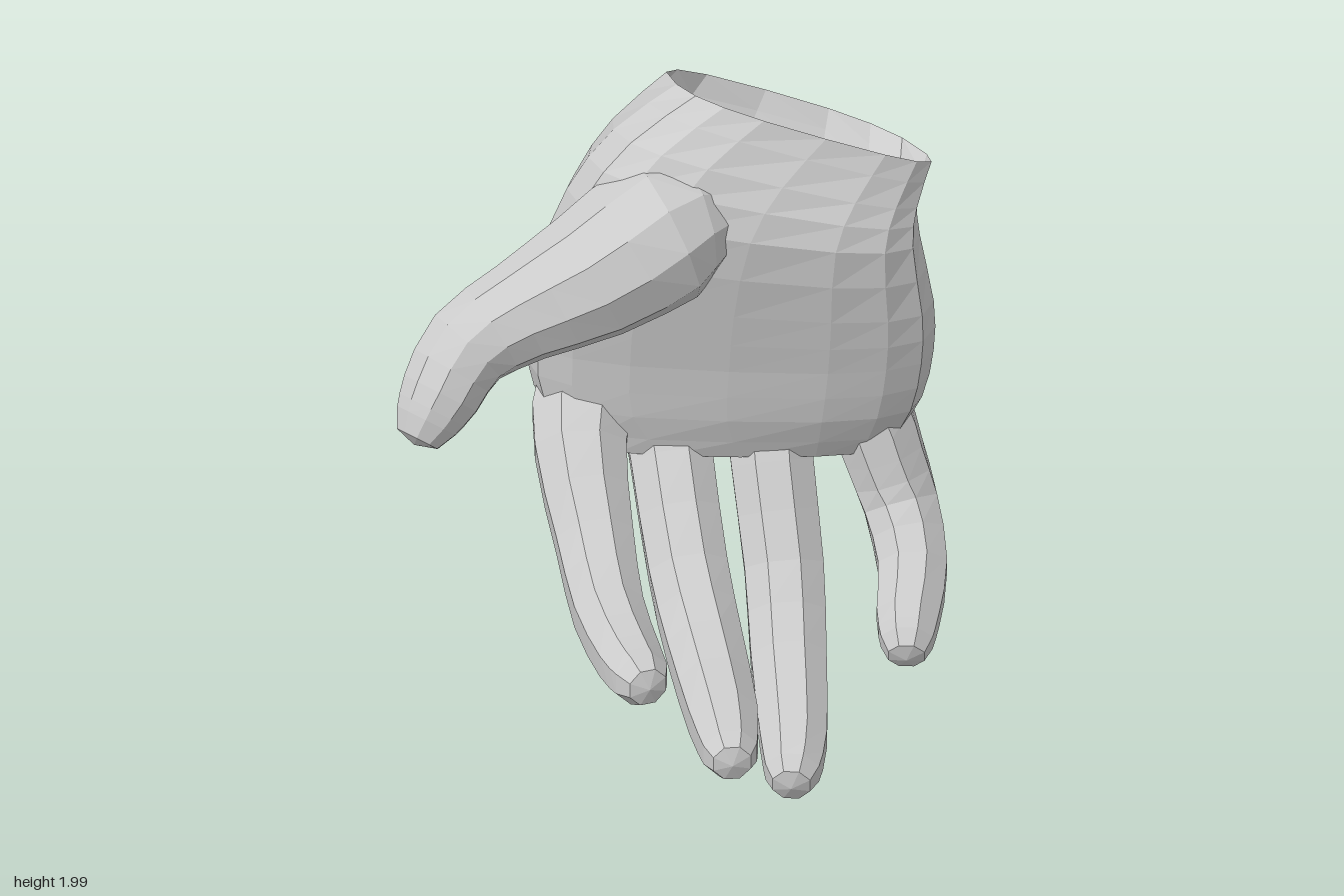
import * as THREE from 'three';

const V = (x, y, z) => new THREE.Vector3(x, y, z);

// Smoothly subdivide rows of numbers (Catmull-Rom on every column)
function refine(rows, steps) {
  const out = [];
  const at = i => rows[Math.min(rows.length - 1, Math.max(0, i))];
  for (let i = 0; i < rows.length - 1; i++) {
    for (let k = 0; k < steps; k++) {
      const t = k / steps;
      out.push(rows[i].map((b, c) => {
        const a = at(i - 1)[c], d = at(i + 1)[c], e = at(i + 2)[c];
        return b + 0.5 * t * (d - a + t * (2 * a - 5 * b + 4 * d - e + t * (3 * (b - d) + e - a)));
      }));
    }
  }
  out.push(rows[rows.length - 1]);
  return out;
}

// Skin a list of rings; the far end closes on a pole
function loft(rings, pole) {
  const n = rings[0].length, pos = [], index = [];
  rings.forEach(r => r.forEach(p => pos.push(p.x, p.y, p.z)));
  pos.push(pole.x, pole.y, pole.z);
  const last = rings.length * n;
  for (let k = 0; k < rings.length; k++) {
    for (let j = 0; j < n; j++) {
      const a = k * n + j, b = k * n + (j + 1) % n;
      if (k < rings.length - 1) index.push(a, b, b + n, a, b + n, a + n);
      else index.push(a, b, last);
    }
  }
  const g = new THREE.BufferGeometry();
  g.setAttribute('position', new THREE.Float32BufferAttribute(pos, 3));
  g.setIndex(index);
  g.computeVertexNormals();
  return g;
}

// Finger: rows of [x, y, z, radius] from base to tip, rounded at the end
function fingerGeometry(rows, side, sides = 8) {
  const path = refine(rows, 2);
  const centers = path.map(r => V(r[0], r[1], r[2]));
  const radii = path.map(r => r[3]);
  const end = centers.length - 1;
  const tip = centers[end].clone().sub(centers[end - 1]).normalize();
  const r = radii[end];
  centers.push(centers[end].clone().addScaledVector(tip, r * 0.6));
  radii.push(r * 0.7);
  const rings = centers.map((c, i) => {
    const t = centers[Math.min(i + 1, centers.length - 1)].clone()
      .sub(centers[Math.max(i - 1, 0)]).normalize();
    const s = side.clone().addScaledVector(t, -side.dot(t)).normalize();
    const b = t.clone().cross(s);
    return Array.from({ length: sides }, (_, j) => {
      const a = (j + 0.5) / sides * Math.PI * 2;
      return c.clone().addScaledVector(s, Math.cos(a) * radii[i])
        .addScaledVector(b, Math.sin(a) * radii[i]);
    });
  });
  return loft(rings, centers[end].clone().addScaledVector(tip, r * 0.8));
}

// Palm: rows of [thumb edge xyz, little-finger edge xyz, palm bulge, back bulge, tilt]
function palmGeometry(rows, sides = 16) {
  const pw = v => Math.sign(v) * Math.abs(v) ** 0.75;
  const rings = refine(rows, 2).map(([ax, ay, az, bx, by, bz, front, back, tilt]) => {
    const A = V(ax, ay, az), B = V(bx, by, bz);
    const mid = A.clone().add(B).multiplyScalar(0.5);
    const half = B.clone().sub(A).multiplyScalar(0.5);
    const n = V(-tilt, -1, 0).cross(half).normalize();
    return Array.from({ length: sides }, (_, j) => {
      const a = j / sides * Math.PI * 2, s = pw(Math.sin(a));
      return mid.clone().addScaledVector(half, pw(Math.cos(a)))
        .addScaledVector(n, s * (s > 0 ? front : back));
    });
  });
  const lastRing = rings[rings.length - 1];
  const pole = lastRing.reduce((s, p) => s.add(p), V(0, 0, 0)).divideScalar(sides);
  return loft(rings, pole);
}

export function createModel() {
  const group = new THREE.Group();
  const material = new THREE.MeshStandardMaterial({
    color: 0xcccccc, flatShading: true, side: THREE.DoubleSide,
  });
  const add = (name, geometry) => {
    const mesh = new THREE.Mesh(geometry, material);
    mesh.name = name;
    group.add(mesh);
  };

  // Palm with the open wrist at the top and a thick heel below it
  add('palm', palmGeometry([
    [0.15, 1.98, -0.31, 0.82, 1.62, 0.09, 0.22, 0.32, 0.55],
    [-0.02, 1.85, -0.41, 0.71, 1.54, 0.16, 0.26, 0.29, 0.45],
    [-0.13, 1.65, -0.5, 0.66, 1.46, 0.22, 0.28, 0.26, 0.28],
    [-0.19, 1.36, -0.58, 0.66, 1.25, 0.28, 0.22, 0.23, 0.1],
    [-0.19, 1.12, -0.61, 0.66, 1.08, 0.28, 0.19, 0.22, 0.03],
    [-0.17, 0.93, -0.6, 0.65, 0.9, 0.24, 0.18, 0.19, 0],
    [-0.11, 0.78, -0.46, 0.6, 0.74, 0.17, 0.11, 0.09, 0],
  ]));

  // Four fingers, rooted inside the palm, curling forward and to the thumb side
  const across = V(0.7, 0, 0.7);
  const fingers = {
    indexFinger: [[0.02, 1.0, -0.48, 0.09], [-0.04, 0.91, -0.5, 0.165], [-0.17, 0.79, -0.4, 0.15],
      [-0.32, 0.62, -0.19, 0.127], [-0.48, 0.53, 0.03, 0.115], [-0.59, 0.49, 0.23, 0.103],
      [-0.635, 0.485, 0.325, 0.09]],
    middleFinger: [[0.17, 0.92, -0.36, 0.09], [0.14, 0.83, -0.34, 0.14], [0.07, 0.71, -0.25, 0.135],
      [-0.08, 0.48, -0.03, 0.13], [-0.22, 0.36, 0.18, 0.125], [-0.41, 0.3, 0.45, 0.113],
      [-0.52, 0.285, 0.59, 0.088]],
    ringFinger: [[0.38, 0.91, -0.14, 0.09], [0.36, 0.82, -0.12, 0.14], [0.3, 0.69, -0.05, 0.135],
      [0.2, 0.43, 0.1, 0.13], [0.05, 0.24, 0.27, 0.124], [-0.13, 0.12, 0.47, 0.11],
      [-0.225, 0.08, 0.56, 0.088]],
    littleFinger: [[0.55, 0.94, 0.11, 0.08], [0.56, 0.84, 0.11, 0.13], [0.57, 0.7, 0.16, 0.128],
      [0.57, 0.55, 0.23, 0.122], [0.49, 0.42, 0.36, 0.113], [0.37, 0.335, 0.46, 0.103],
      [0.31, 0.295, 0.515, 0.085]],
  };
  for (const [name, rows] of Object.entries(fingers)) add(name, fingerGeometry(rows, across));

  // Thumb with its broad base blending into the heel of the palm
  add('thumb', fingerGeometry([
    [0.1, 1.61, -0.13, 0.16], [-0.03, 1.6, -0.18, 0.23], [-0.25, 1.485, -0.28, 0.205],
    [-0.44, 1.39, -0.39, 0.16], [-0.6, 1.31, -0.455, 0.142], [-0.71, 1.19, -0.46, 0.128],
    [-0.77, 1.12, -0.46, 0.103],
  ], V(0, 0, 1), 10));

  return group;
}
